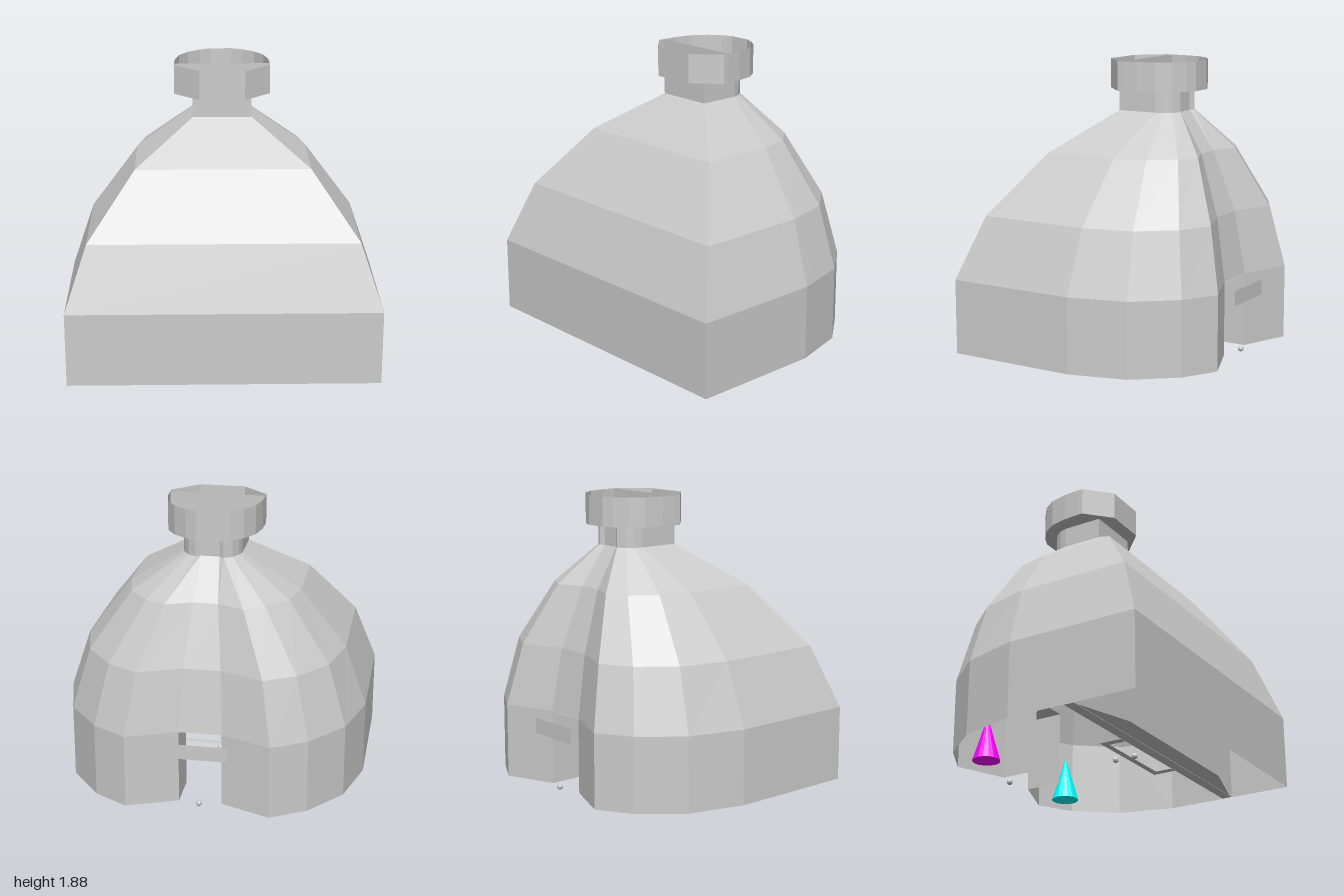
import * as THREE from 'three';

const paint = (color) => new THREE.MeshStandardMaterial({ color, flatShading: true, side: THREE.DoubleSide });
const grey = paint(0xcccccc);

// half outline (x > 0, front to back) completed by mirroring
const mirror = (half) => [...half, ...half.slice().reverse().map(([x, z]) => [-x, z])];

// faceted skin through closed rings [height, half outline]; skip(level, side) leaves openings
function loft(rings, skip = () => false) {
  const pos = [];
  const loops = rings.map(([y, half]) => mirror(half).map(([x, z]) => [x, y, z]));
  for (let l = 0; l < loops.length - 1; l++) {
    const lo = loops[l], hi = loops[l + 1], n = lo.length;
    for (let i = 0; i < n; i++) {
      if (skip(l, i)) continue;
      const j = (i + 1) % n;
      pos.push(...lo[i], ...lo[j], ...hi[j], ...lo[i], ...hi[j], ...hi[i]);
    }
  }
  const g = new THREE.BufferGeometry();
  g.setAttribute('position', new THREE.Float32BufferAttribute(pos, 3));
  g.computeVertexNormals();
  return g;
}

// flat horizontal plate from [x, z] outlines, facing up
function plate(outline, y, holes = []) {
  const pts = (o) => o.map(([x, z]) => new THREE.Vector2(x, -z));
  const s = new THREE.Shape(pts(outline));
  s.holes = holes.map((h) => new THREE.Path(pts(h)));
  return new THREE.ShapeGeometry(s).rotateX(-Math.PI / 2).translate(0, y, 0);
}

const rect = (x, z0, z1) => [[x, z1], [x, z0], [-x, z0], [-x, z1]];

export function createModel() {
  const model = new THREE.Group();
  const add = (name, geometry, x = 0, y = 0, z = 0, material = grey) => {
    const m = new THREE.Mesh(geometry, material);
    m.name = name;
    m.position.set(x, y, z);
    model.add(m);
    return m;
  };

  // domed shell: flat front, faceted rounded back with a folded-in centre
  const base = [[1, 0.81], [1, -0.06], [0.9, -0.43], [0.69, -0.69], [0.465, -0.82], [0.14, -0.69]];
  const neck = [[0.19, 0.07], [0.19, -0.2], [0.175, -0.25], [0.14, -0.3], [0.09, -0.33], [0.06, -0.31]];
  const shell = [
    [0, base],
    [0.49, base],
    [0.9, [[0.86, 0.66], [0.86, -0.08], [0.78, -0.4], [0.6, -0.62], [0.4, -0.73], [0.12, -0.62]]],
    [1.295, [[0.56, 0.375], [0.56, -0.12], [0.51, -0.33], [0.38, -0.48], [0.25, -0.55], [0.08, -0.48]]],
    [1.55, neck],
  ];
  add('shell', loft(shell, (level, side) => level === 0 && side === 5));
  add('neck', loft([[1.55, neck], [1.69, neck]]));

  // collar with its floor and cross panel
  const collar = [[0.145, 0.165], [0.31, 0.01], [0.31, -0.03], [0.305, -0.13], [0.28, -0.25],
    [0.22, -0.34], [0.14, -0.4], [0.07, -0.43]];
  add('collar', loft([[1.69, collar], [1.88, collar]]));
  add('collarFloor', plate(mirror(collar), 1.69,
    [rect(0.19, -0.03, 0.07), mirror([[0.19, -0.1], ...neck.slice(1)])]));
  add('collarPanel', new THREE.PlaneGeometry(0.62, 0.19), 0, 1.785, -0.03);

  // inner front wall, running from the floor up into the neck
  const wall = [[0, 1, 0.4], [0.49, 1, 0.4], [0.9, 0.86, 0.32], [1.295, 0.56, 0.18], [1.55, 0.19, -0.03], [1.69, 0.19, -0.03]];
  add('innerWall', loft(wall.map(([y, x, z]) => [y, [[x - 0.003, z], [x - 0.003, z - 0.07]]])));
  add('innerWallBase', plate(rect(0.997, 0.33, 0.4), 0.002));
  add('frontLedge', plate([[0.96, 0.4], [-0.96, 0.4], [-0.57, 0.52], [0.57, 0.52]], 0.003));

  // floor frame behind the inner wall
  add('floorFrame', plate(rect(0.34, 0.17, 0.38), 0.005, [rect(0.29, 0.21, 0.34)]));

  // back doorway
  for (const s of [1, -1]) {
    add('doorJamb', new THREE.PlaneGeometry(0.25, 0.49).rotateY(-s * Math.PI / 2), s * 0.14, 0.245, -0.565);
  }
  add('doorCeiling', plate(rect(0.14, -0.69, -0.44), 0.488));
  add('doorBoard', new THREE.PlaneGeometry(0.37, 0.1).rotateY(Math.PI), 0, 0.4, -0.79);

  // small beads along the centre line
  for (const z of [-0.74, 0.08, 0.22]) add('bead', new THREE.SphereGeometry(0.02, 8, 6), 0, 0.02, z);

  // coloured cones inside the back corners
  for (const [x, color] of [[0.46, 0x00ffff], [-0.46, 0xff00ff]]) {
    add('cone', new THREE.ConeGeometry(0.09, 0.3, 16), x, 0.15, -0.6, paint(color));
  }
  return model;
}
